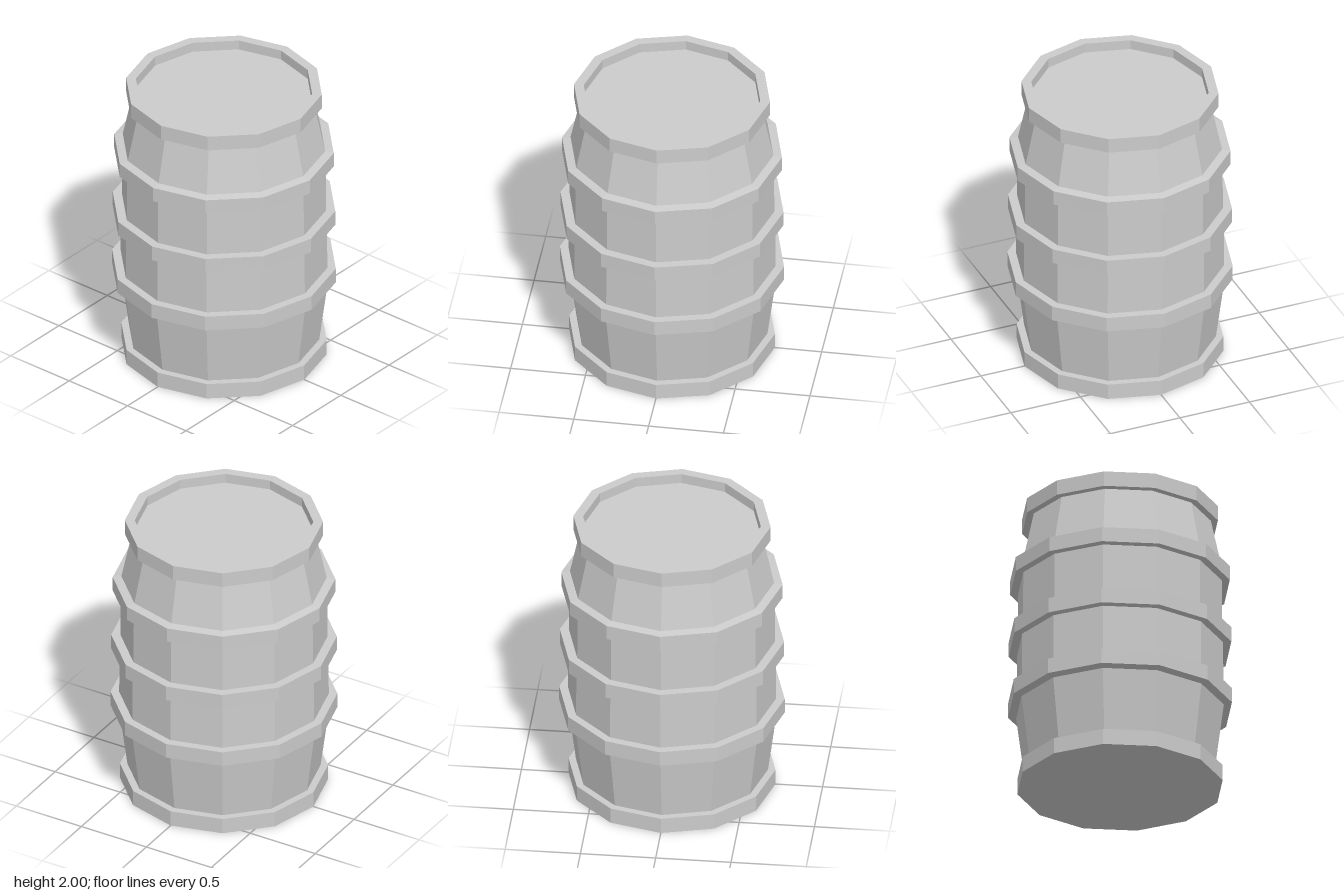
import * as THREE from 'three';

const SIDES = 12;
const material = new THREE.MeshStandardMaterial({ color: 0xcccccc, flatShading: true });

// Revolve a [radius, height] profile, listed from bottom to top on the outside
function ring(name, profile) {
  const points = profile.map(([r, y]) => new THREE.Vector2(r, y));
  const mesh = new THREE.Mesh(new THREE.LatheGeometry(points, SIDES), material);
  mesh.name = name;
  return mesh;
}

export function createModel() {
  const barrel = new THREE.Group();
  barrel.name = 'barrel';

  // Base rim with closed underside
  barrel.add(ring('baseRim', [[0, 0], [0.687, 0], [0.687, 0.11], [0.638, 0.11]]));

  // Staves between the hoops
  const walls = [
    ['lowerWall', 0.638, 0.11, 0.695, 0.55],
    ['lowerMiddleWall', 0.692, 0.667, 0.69, 1.005],
    ['upperMiddleWall', 0.684, 1.11, 0.682, 1.455],
    ['upperWall', 0.678, 1.567, 0.608, 1.895],
  ];
  for (const [name, r0, y0, r1, y1] of walls) barrel.add(ring(name, [[r0, y0], [r1, y1]]));

  // Hoops; the outer two have slightly sloped edges
  barrel.add(ring('lowerHoop', [[0.695, 0.55], [0.749, 0.562], [0.749, 0.667], [0.692, 0.667]]));
  barrel.add(ring('middleHoop', [[0.69, 1.005], [0.745, 1.005], [0.745, 1.11], [0.684, 1.11]]));
  barrel.add(ring('upperHoop', [[0.682, 1.455], [0.735, 1.455], [0.735, 1.557], [0.678, 1.567]]));

  // Top rim and the recessed lid inside it
  barrel.add(ring('topRim', [[0.608, 1.895], [0.655, 1.895], [0.655, 2], [0.59, 2], [0.59, 1.932]]));
  barrel.add(ring('lid', [[0.59, 1.932], [0, 1.932]]));

  return barrel;
}
